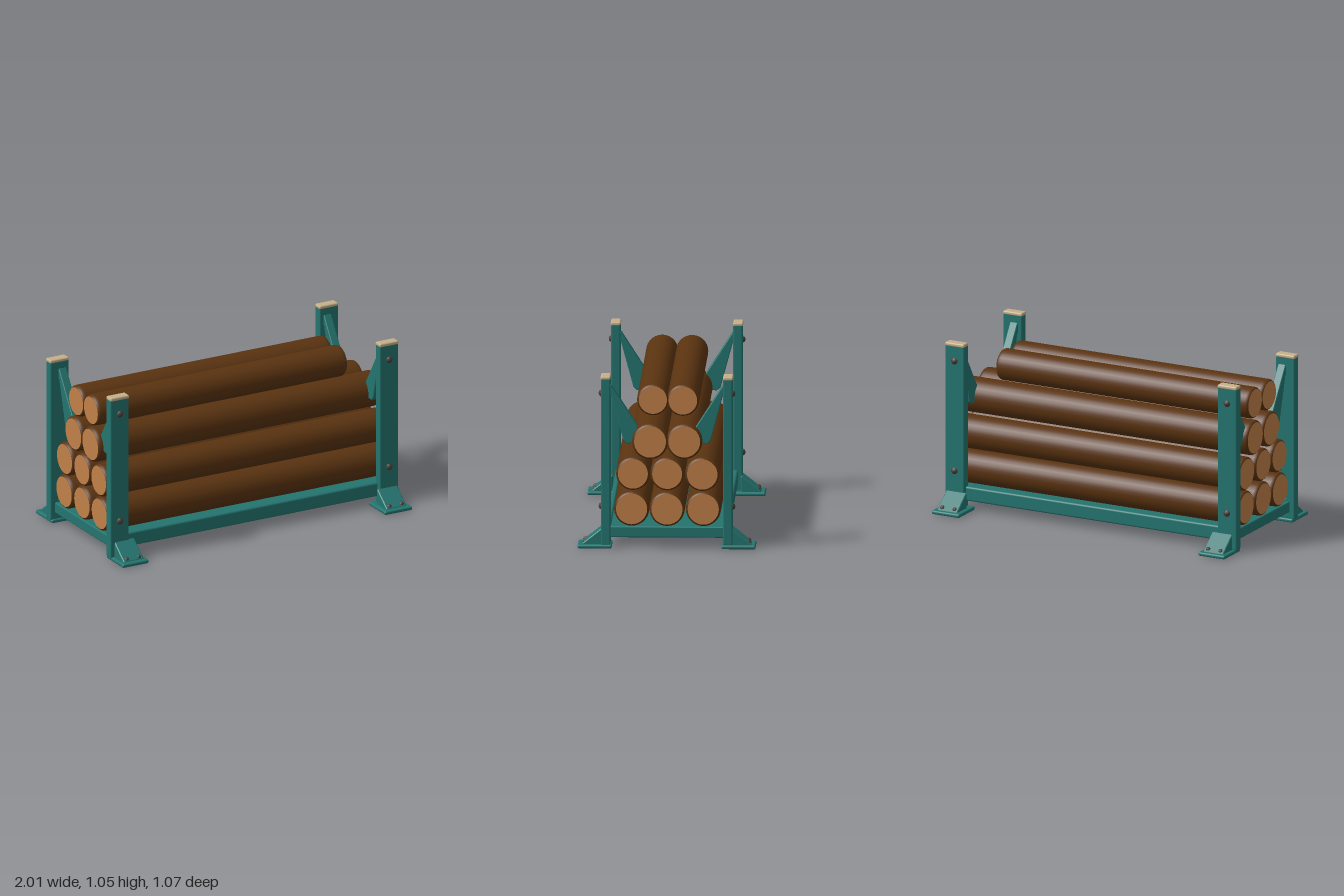
import * as THREE from 'three';
import { RoundedBoxGeometry } from 'three/addons/geometries/RoundedBoxGeometry.js';

const mat = (name, color) => {
  const m = new THREE.MeshStandardMaterial({ color });
  m.name = name;
  return m;
};
const teal = mat('tealPaint', 0x24746f);
const bark = mat('bark', 0x5a3310);
const wood = mat('cutWood', 0xc08048);
const tan = mat('tanCap', 0xc6b08a);
const steel = mat('darkBolt', 0x4a4039);

function add(parent, name, geo, material, x = 0, y = 0, z = 0) {
  const m = new THREE.Mesh(geo, material);
  m.name = name;
  m.position.set(x, y, z);
  parent.add(m);
  return m;
}

const rbox = (w, h, d, r) => new RoundedBoxGeometry(w, h, d, 2, r);

// Plate drawn in the (z, y) plane and given a thickness along x
function sidePlate(points, width, bevel) {
  const shape = new THREE.Shape(points.map(([z, y]) => new THREE.Vector2(z, y)));
  const depth = width - 2 * bevel;
  const g = new THREE.ExtrudeGeometry(shape, {
    depth, bevelEnabled: true, bevelSize: bevel, bevelOffset: -bevel,
    bevelThickness: bevel, bevelSegments: 1,
  });
  g.translate(0, 0, -depth / 2);
  g.rotateY(-Math.PI / 2);
  return g;
}

// Domed bolt head pointing along +z
function boltHead(r, h) {
  const p = [[r * 1.25, 0], [r * 1.25, h * 0.3], [r, h * 0.35], [r * 0.85, h * 0.8], [0, h]];
  const g = new THREE.LatheGeometry(p.map(([a, b]) => new THREE.Vector2(a, b)), 10);
  g.rotateX(Math.PI / 2);
  return g;
}

// Log along x with rounded bark edges and cut wood ends
function log(parent, y, z, r, x0, x1) {
  const g = new THREE.Group();
  g.name = 'log';
  const half = (x1 - x0) / 2;
  const edge = [[0.88, 0], [0.93, 0.003], [0.98, 0.01], [1, 0.022], [1, 0.04]];
  const low = edge.map(([s, d]) => new THREE.Vector2(r * s, -half + d));
  const high = edge.map(([s, d]) => new THREE.Vector2(r * s, half - d)).reverse();
  const body = new THREE.LatheGeometry([...low, ...high], 28);
  body.rotateZ(-Math.PI / 2);
  add(g, 'logBark', body, bark);
  for (const s of [-1, 1]) {
    const end = add(g, 'logEnd', new THREE.CircleGeometry(r * 0.885, 28), wood, s * half);
    end.rotation.y = s * Math.PI / 2;
  }
  g.position.set((x0 + x1) / 2, y, z);
  parent.add(g);
}

// One upright with its foot, built facing +z; dx shifts the post over its foot
function corner(parent, side, back) {
  const g = new THREE.Group();
  g.name = 'cornerPost';
  const flip = back ? -1 : 1;
  const postX = flip * (side < 0 ? -0.033 : 0.012);
  const braceX = flip * (side < 0 ? -0.015 : 0);
  const footW = side < 0 ? 0.182 : 0.19;

  add(g, 'post', rbox(0.128, 1.02, 0.056, 0.008), teal, postX, 0.53, 0.367);
  add(g, 'postCap', rbox(0.13, 0.024, 0.06, 0.009), tan, postX, 1.036, 0.368);
  add(g, 'footPlate', rbox(footW, 0.024, 0.205, 0.01), teal, 0, 0.012, 0.4325);

  // Sloped foot gusset
  add(g, 'footGusset', sidePlate(
    [[0.385, 0.015], [0.512, 0.015], [0.505, 0.03], [0.395, 0.117], [0.385, 0.117]],
    0.138, 0.005), teal);
  for (const x of [-0.042, 0.042]) {
    const b = add(g, 'footBolt', boltHead(0.011, 0.012), steel, x, 0.038, 0.492);
    b.rotation.x = -0.9;
  }

  // Inward brace hugging the stack
  add(g, 'brace', sidePlate(
    [[0.345, 0.985], [0.335, 0.985], [0.175, 0.735], [0.185, 0.68], [0.205, 0.635],
      [0.24, 0.63], [0.262, 0.65], [0.335, 0.92], [0.345, 0.92]],
    0.052, 0.004), teal, braceX);

  for (const y of [0.937, 0.248])
    add(g, 'postBolt', boltHead(0.017, 0.017), steel, postX, y, 0.394);

  g.position.x = side < 0 ? -0.909 : 0.905;
  if (back) g.rotation.y = Math.PI;
  parent.add(g);
}

export function createModel() {
  const root = new THREE.Group();
  root.name = 'logRack';

  // Base tray with raised long rails
  add(root, 'baseTray', rbox(1.93, 0.068, 0.7, 0.008), teal, -0.01, 0.096, 0);
  for (const s of [-1, 1])
    add(root, 'sideRail', rbox(1.9, 0.09, 0.032, 0.012), teal, -0.01, 0.105, s * 0.352);

  for (const side of [-1, 1])
    for (const back of [false, true]) corner(root, side, back);

  // Stacked logs: height, depth, radius, end on the left side
  const logs = [
    [0.24, 0.211, 0.106, 0.975], [0.24, -0.002, 0.106, 0.98], [0.24, -0.22, 0.106, 0.975],
    [0.453, 0.203, 0.102, 0.97], [0.453, -0.003, 0.102, 0.975], [0.452, -0.214, 0.104, 0.975],
    [0.65, 0.1, 0.109, 0.975], [0.65, -0.106, 0.108, 0.97],
    [0.865, 0.09, 0.096, 0.75], [0.863, -0.09, 0.097, 0.75],
  ];
  for (const [y, z, r, end] of logs) log(root, y, z, r, end < 0.9 ? -0.97 : -0.98, end);

  return root;
}
